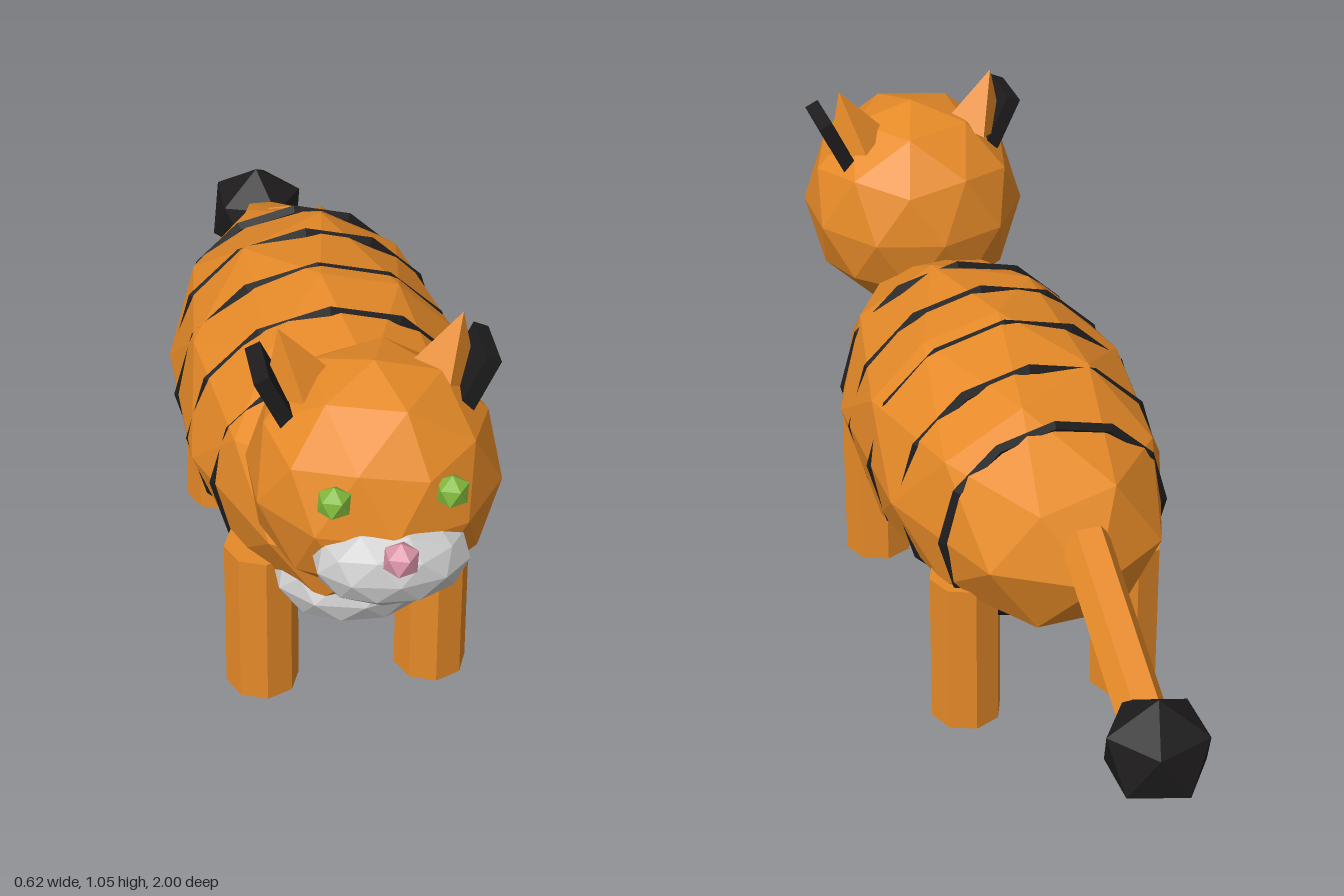
import * as THREE from 'three';

const mat = (color) => new THREE.MeshStandardMaterial({ color, flatShading: true });

export function createModel() {
  const root = new THREE.Group();
  const orange = mat(0xe68a28), black = mat(0x1e1c1c), grey = mat(0xcccccc);
  const green = mat(0x82b93c), pink = mat(0xdc96aa);

  const add = (name, geometry, material, x, y, z) => {
    const mesh = new THREE.Mesh(geometry, material);
    mesh.name = name;
    mesh.position.set(x, y, z);
    root.add(mesh);
    return mesh;
  };

  // faceted ball standing on a corner: detail 0 has 20 faces, detail 1 has 80
  const ball = (detail, rx, ry = rx, rz = rx) =>
    new THREE.IcosahedronGeometry(1, detail)
      .rotateZ(-Math.atan(2 / (1 + Math.sqrt(5))))
      .scale(rx, ry, rz);

  // body and chest patch
  const bodyY = 0.48, bodyZ = 0.06, bodyLength = 0.615;
  add('body', ball(1, 0.316, 0.3, bodyLength), orange, 0, bodyY, bodyZ);
  add('chestPatch', ball(1, 0.17, 0.095, 0.135), grey, 0, 0.34, 0.485);

  // stripes: flattened rings that follow the outline of the body
  for (let i = 0; i < 5; i++) {
    const z = 0.34 - i * 0.16;
    const s = Math.sqrt(1 - ((z - bodyZ) / bodyLength) ** 2);
    const ring = new THREE.TorusGeometry(0.94, 0.06, 4, 12).scale(0.31 * s, 0.303 * s, 0.14);
    add('stripe', ring, black, 0, bodyY, z);
  }

  // head and face
  add('head', ball(1, 0.247), orange, 0, 0.738, 0.675);
  add('muzzle', ball(1, 0.152, 0.09, 0.1), grey, 0, 0.675, 0.87);
  add('nose', ball(0, 0.037), pink, 0, 0.74, 0.965);

  for (const side of [1, -1]) {
    add('eye', ball(0, 0.035), green, side * 0.11, 0.82, 0.88);

    // four-sided ear, leaning outwards
    const ear = add('ear', new THREE.ConeGeometry(0.07, 0.135, 4).translate(0, 0.0675, 0),
      orange, side * 0.137, 0.92, 0.637);
    ear.rotation.z = -side * 0.29;

    // dark slab beside the ear
    const slab = add('earMarking', new THREE.BoxGeometry(0.032, 0.124, 0.12),
      black, side * 0.192, 0.934, 0.657);
    slab.rotation.z = -side * 0.44;

    // legs
    for (const [name, z] of [['frontLeg', 0.4], ['hindLeg', -0.255]]) {
      add(name, new THREE.CylinderGeometry(0.077, 0.077, 0.36, 8), orange, side * 0.18, 0.18, z);
    }
  }

  // tail sloping down and back to a dark tip
  const tail = add('tail', new THREE.CylinderGeometry(0.052, 0.052, 0.4, 6).rotateY(Math.PI / 6),
    orange, 0, 0.458, -0.655);
  tail.rotation.x = Math.PI / 3;
  add('tailTip', ball(0, 0.118), black, 0, 0.343, -0.9);

  return root;
}
